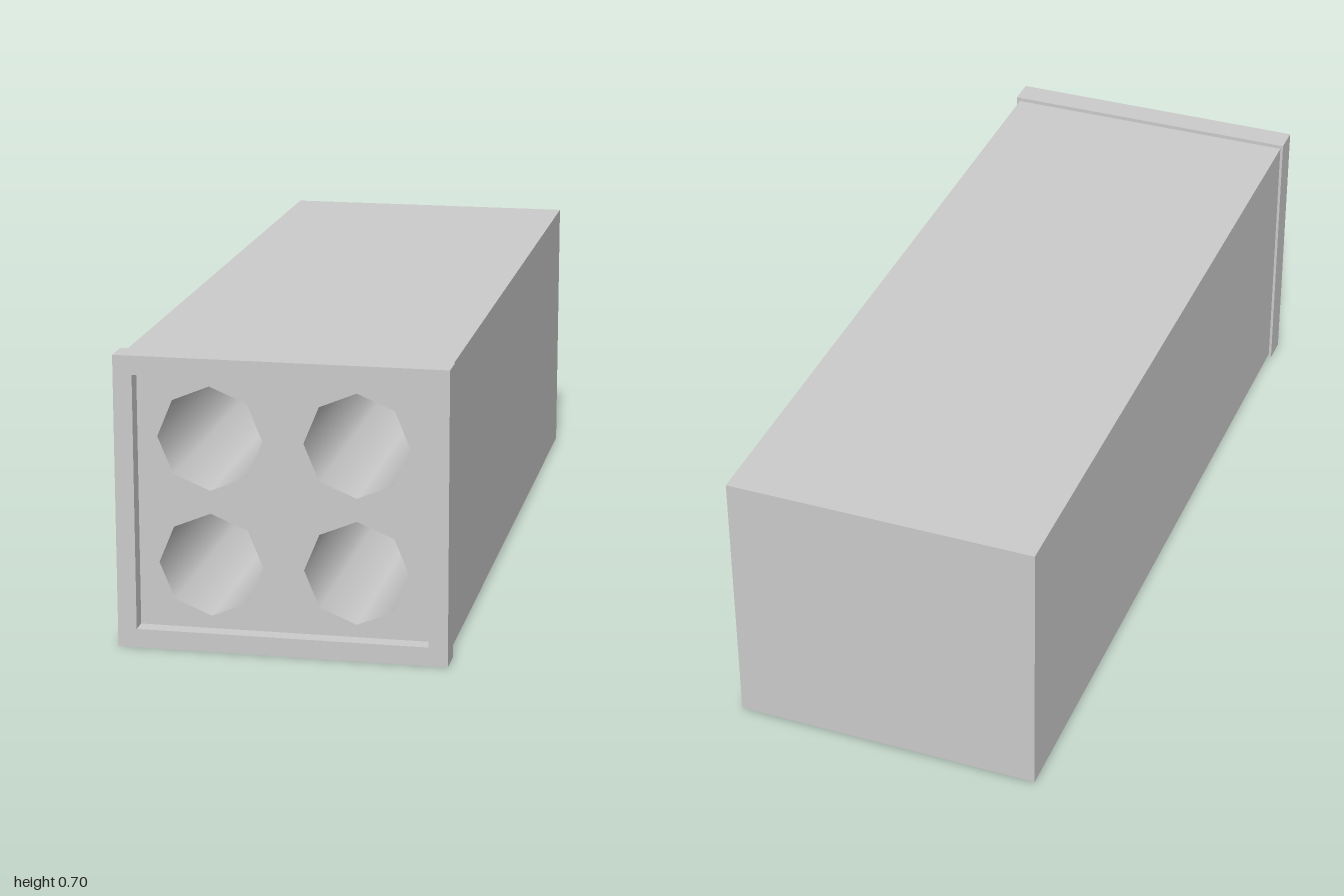
import * as THREE from 'three';

const BACK = -1, RIM_BACK = 0.93, FRONT = 1, PANEL_Z = 0.96, TUBE_END = -0.95;
const TUBE_R = 0.124;

// rectangular outline, usable as a shape or as a hole
function rect(path, x0, y0, x1, y1) {
  path.moveTo(x0, y0);
  path.lineTo(x1, y0);
  path.lineTo(x1, y1);
  path.lineTo(x0, y1);
  path.closePath();
  return path;
}

export function createModel() {
  const group = new THREE.Group();
  const grey = new THREE.MeshStandardMaterial({ color: 0xcccccc });
  const inside = new THREE.MeshStandardMaterial({ color: 0xcccccc, side: THREE.BackSide });
  const add = (name, geometry, material = grey) => {
    const mesh = new THREE.Mesh(geometry, material);
    mesh.name = name;
    group.add(mesh);
    return mesh;
  };

  // long casing, open at the front: the +z face is left out
  const casing = new THREE.BoxGeometry(0.764, 0.68, RIM_BACK - BACK);
  const front = casing.groups[4];
  casing.setIndex([...casing.index.array].filter((_, i) => i < front.start || i >= front.start + front.count));
  casing.clearGroups();
  add('casing', casing).position.set(-0.001, 0.35, (RIM_BACK + BACK) / 2);

  // slightly wider frame around the front opening
  const frame = rect(new THREE.Shape(), -0.39, 0, 0.39, 0.7);
  frame.holes.push(rect(new THREE.Path(), -0.345, 0.045, 0.345, 0.655));
  add('frontFrame', new THREE.ExtrudeGeometry(frame, { depth: FRONT - RIM_BACK, bevelEnabled: false }))
    .position.z = RIM_BACK;

  // recessed panel with four octagonal openings, each leading into a tube
  const panel = rect(new THREE.Shape(), -0.345, 0.045, 0.345, 0.655);
  const depth = PANEL_Z - TUBE_END;
  for (const x of [-0.174, 0.17]) {
    for (const y of [0.199, 0.502]) {
      const hole = new THREE.Path();
      for (let i = 0; i < 8; i++) {
        const a = (i * Math.PI) / 4;
        const px = x + TUBE_R * Math.cos(a), py = y + TUBE_R * Math.sin(a);
        if (i === 0) hole.moveTo(px, py);
        else hole.lineTo(px, py);
      }
      hole.closePath();
      panel.holes.push(hole);

      const tube = new THREE.CylinderGeometry(TUBE_R, TUBE_R, depth, 8, 1, true).rotateX(Math.PI / 2);
      add('tubeWall', tube, inside).position.set(x, y, (PANEL_Z + TUBE_END) / 2);
      add('tubeEnd', new THREE.CircleGeometry(TUBE_R, 8)).position.set(x, y, TUBE_END);
    }
  }
  add('frontPanel', new THREE.ShapeGeometry(panel)).position.z = PANEL_Z;

  return group;
}
